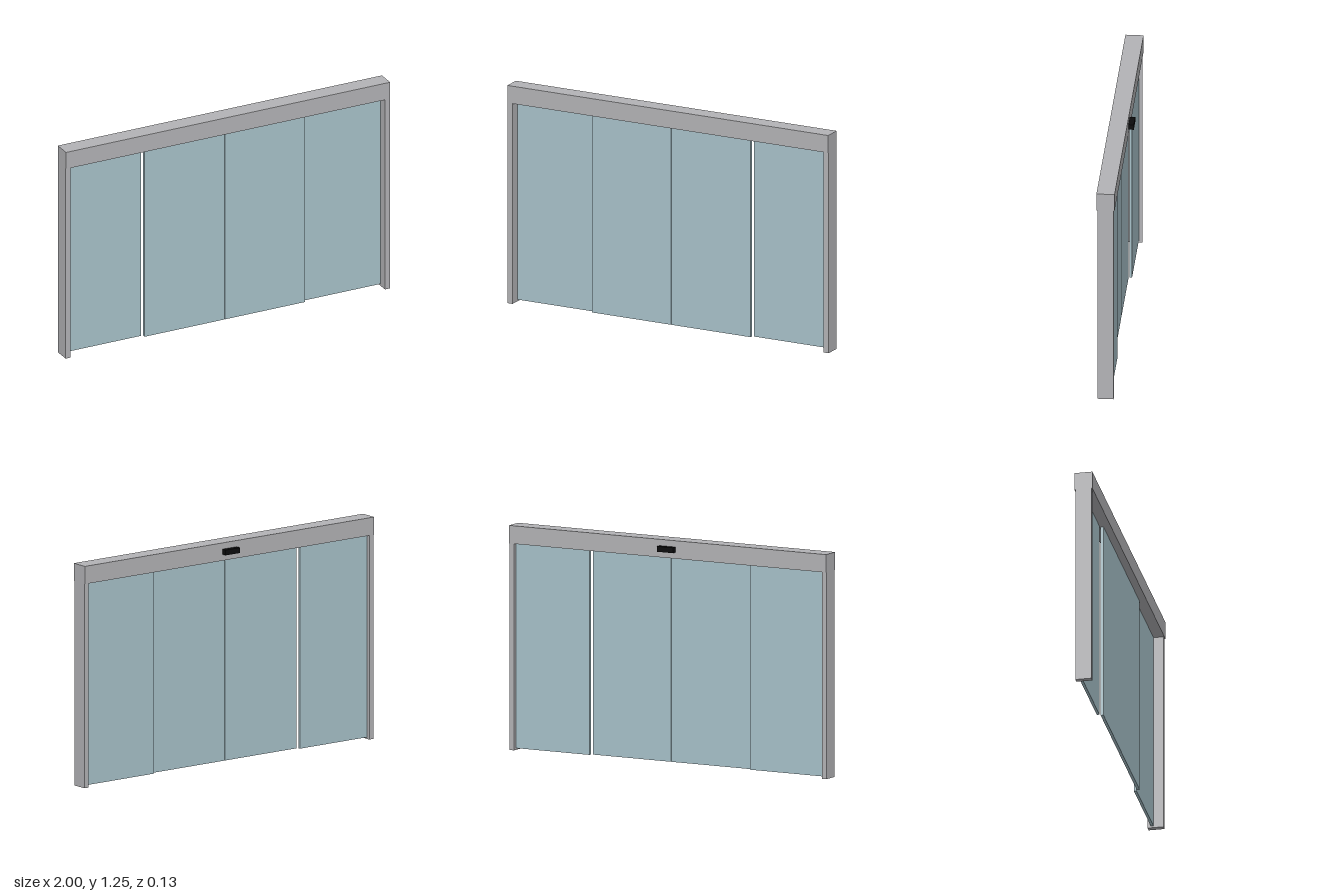
import * as THREE from 'three';

export function createModel() {
  const model = new THREE.Group();
  model.name = 'slidingDoor';

  const material = (name, color) => {
    const m = new THREE.MeshStandardMaterial({ color });
    m.name = name;
    return m;
  };
  const aluminium = material('aluminium', 0xb3b3b6);
  const glass = material('paleBlueGlass', 0xa8c2ca);
  const black = material('black', 0x0c0c0d);

  // Box given by its [min, max] extent on each axis
  const box = (name, mat, [x0, x1], [y0, y1], [z0, z1]) => {
    const mesh = new THREE.Mesh(new THREE.BoxGeometry(x1 - x0, y1 - y0, z1 - z0), mat);
    mesh.position.set((x0 + x1) / 2, (y0 + y1) / 2, (z0 + z1) / 2);
    mesh.name = name;
    model.add(mesh);
  };

  // Header housing and the motion sensor on its back
  box('header', aluminium, [-1, 1], [1.15, 1.25], [-0.035, 0.065]);
  box('sensor', black, [-0.05, 0.05], [1.185, 1.215], [-0.065, -0.035]);

  // Posts, fixed outer panels, and sliding inner panels set further forward
  for (const [side, s] of [['left', 1], ['right', -1]]) {
    const span = (a, b) => (s > 0 ? [a, b] : [-b, -a]);
    box(side + 'Post', aluminium, span(0.97, 1), [0, 1.15], [-0.03, 0.06]);
    box(side + 'FixedPanel', glass, span(0.505, 0.97), [0.01, 1.15], [-0.011, 0.004]);
    box(side + 'SlidingPanel', glass, span(0.002, 0.495), [0.01, 1.15], [0.008, 0.024]);
  }

  return model;
}
